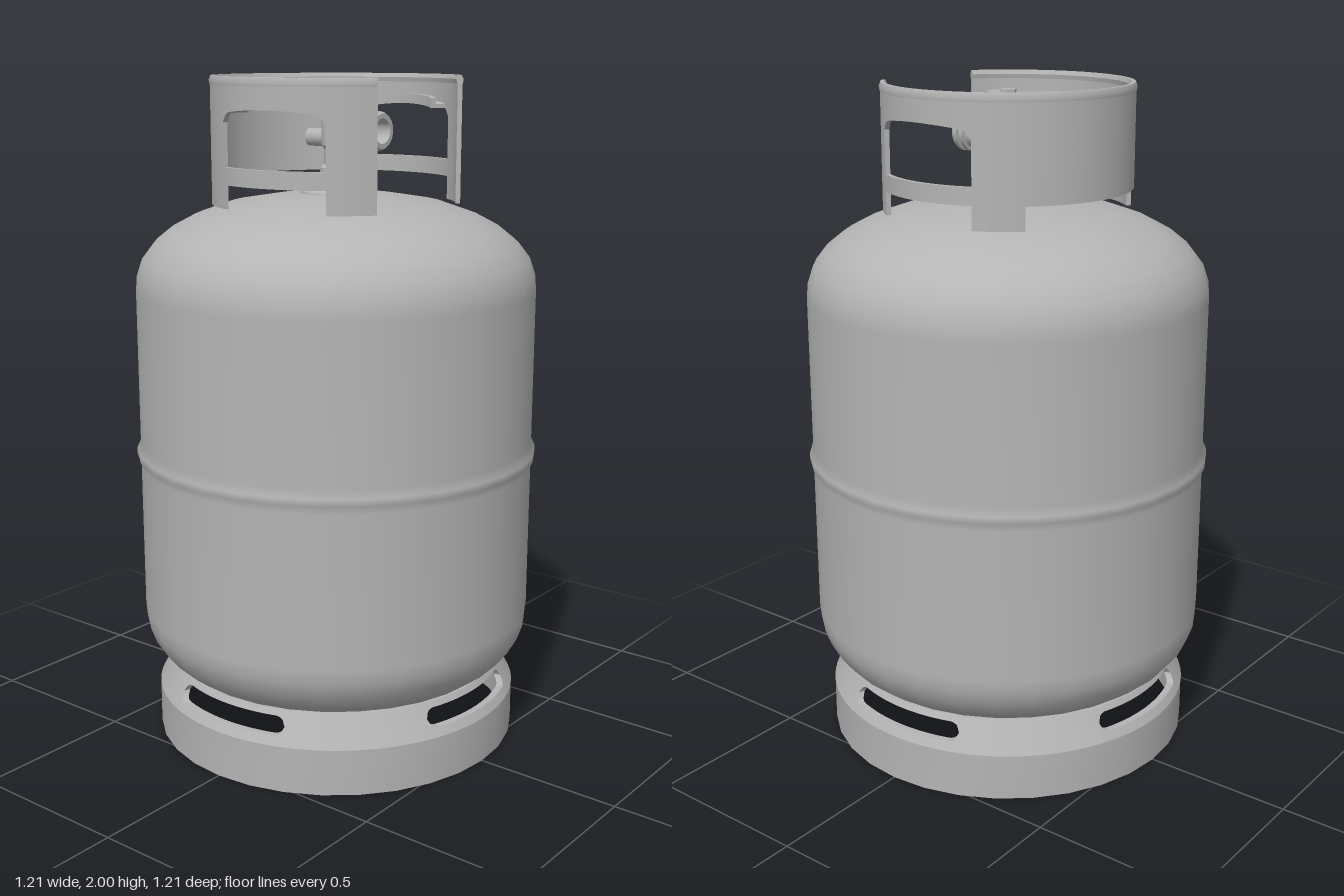
import * as THREE from 'three';
import { toCreasedNormals } from 'three/addons/utils/BufferGeometryUtils.js';

const RAD = Math.PI / 180;

// Sweeps a closed section of [radius, y] points (outer low first, counterclockwise) about the y axis.
function sweep(from, to, steps, section) {
  const pos = [], idx = [];
  const n = section(from).length;
  for (let i = 0; i <= steps; i++) {
    const deg = from + (to - from) * i / steps;
    const a = deg * RAD;
    for (const [r, y] of section(deg)) pos.push(r * Math.sin(a), y, r * Math.cos(a));
  }
  for (let i = 0; i < steps; i++) {
    for (let k = 0; k < n; k++) {
      const a = i * n + k, b = i * n + (k + 1) % n;
      idx.push(a, a + n, b + n, a, b + n, b);
    }
  }
  if (to - from < 360) {
    const e = steps * n;
    for (let k = 1; k < n - 1; k++) {
      idx.push(0, k, k + 1, e, e + k + 1, e + k);
    }
  }
  const g = new THREE.BufferGeometry();
  g.setAttribute('position', new THREE.Float32BufferAttribute(pos, 3));
  g.setIndex(idx);
  return toCreasedNormals(g, 0.6);
}

const box = (rOut, rIn, lo, hi) => [[rOut, lo], [rOut, hi], [rIn, hi], [rIn, lo]];

export function createModel() {
  const model = new THREE.Group();
  model.name = 'gasCylinder';
  const steel = new THREE.MeshStandardMaterial({ color: 0xb4b4b4 });
  steel.name = 'greySteel';

  const add = (name, geometry, parent = model) => {
    const m = new THREE.Mesh(geometry, steel);
    m.name = name;
    parent.add(m);
    return m;
  };
  const group = (name) => {
    const g = new THREE.Group();
    g.name = name;
    model.add(g);
    return g;
  };
  const lathe = (points, segments = 32) =>
    new THREE.LatheGeometry(points.map(([r, y]) => new THREE.Vector2(r, y)), segments);

  // Tank with domed ends and a slim weld bead round the middle
  add('tank', lathe([
    [0, 0.165], [0.2, 0.172], [0.36, 0.19], [0.45, 0.21], [0.5, 0.232], [0.54, 0.263], [0.575, 0.308],
    [0.592, 0.355], [0.596, 0.4], [0.596, 0.855], [0.607, 0.88], [0.607, 0.9], [0.596, 0.925],
    [0.596, 1.38], [0.592, 1.425], [0.575, 1.475], [0.54, 1.52], [0.49, 1.56], [0.42, 1.597],
    [0.32, 1.632], [0.2, 1.652], [0.1, 1.662], [0, 1.665],
  ]));

  // Foot ring with four rounded slots in its sloping upper part
  const foot = group('footRing');
  add('footBand', sweep(0, 360, 32, () => box(0.557, 0.537, 0, 0.14)), foot);
  const ringR = (y) => 0.557 - (y - 0.14) * 0.55;
  const slope = (lo, hi) => [[ringR(lo), lo], [ringR(hi), hi], [ringR(hi) - 0.02, hi], [ringR(lo) - 0.02, lo]];
  const slotHalf = (deg) => {
    const d = Math.abs(((deg + 45) % 90) - 45);
    const e = Math.min(1, Math.max(0, (22 - d) / 3.5));
    return 0.025 * Math.sqrt(1 - (1 - e) ** 2);
  };
  add('slotLowerEdge', sweep(0, 360, 360, (d) => slope(0.14, 0.19 - slotHalf(d))), foot);
  add('slotUpperEdge', sweep(0, 360, 360, (d) => slope(0.19 + slotHalf(d), 0.232)), foot);

  // Guard collar: open at the front, a window and curled hand grip on each side
  const collar = group('collar');
  const wall = (lo, hi = 1.99) => () => box(0.366, 0.352, lo, hi);
  const windowTop = (deg) => {
    const t = (Math.abs(deg) - 56) / 56;
    const edge = Math.min(1, Math.min(t, 1 - t) / 0.12);
    return 1.875 + 0.025 * Math.sqrt(1 - (1 - edge) ** 2) + 0.012 * Math.sin(Math.PI * t);
  };
  for (const s of [1, -1]) {
    const side = s > 0 ? 'left' : 'right';
    const part = (name, a, b, section) => {
      const [from, to] = s > 0 ? [a, b] : [-b, -a];
      add(side + name, sweep(from, to, Math.max(4, Math.round((b - a) / 3)), section), collar);
    };
    part('FrontPost', 34, 56, wall(1.632));
    part('RearPost', 112, 135, wall(1.632));
    part('LowerBar', 56, 112, wall(1.7, 1.75));
    part('WindowHead', 56, 112, (d) => box(0.366, 0.352, windowTop(d), 1.99));
    part('GripFlange', 60, 108, (d) => box(0.36, 0.308, windowTop(d), windowTop(d) + 0.012));
    part('GripLip', 60, 108, (d) => box(0.322, 0.305, windowTop(d), windowTop(d) + 0.03));
  }
  add('backWall', sweep(135, 225, 30, wall(1.7)), collar);
  add('topRim', sweep(34, 326, 72, () =>
    [[0.367, 1.975], [0.369, 1.988], [0.364, 2], [0.353, 2], [0.348, 1.988], [0.351, 1.975]]), collar);

  // Valve: conical boss, hex neck and body
  const valve = group('valve');
  const creased = (points, segments = 20) => toCreasedNormals(lathe(points, segments), 0.5);
  add('valveBoss', creased([[0.108, 1.655], [0.105, 1.668], [0.065, 1.69], [0.06, 1.698], [0, 1.698]], 24), valve);
  add('valveNeck', creased([[0.048, 1.69], [0.048, 1.735], [0.036, 1.745], [0.036, 1.79], [0.043, 1.8],
    [0.043, 1.885], [0.028, 1.9], [0.028, 1.92], [0.016, 1.925], [0.016, 1.95], [0, 1.95]]), valve);

  // Hollow threaded outlet pointing forward
  const outlet = add('outlet', creased([[0.04, 0], [0.046, 0.04], [0.046, 0.125], [0.056, 0.126], [0.056, 0.138],
    [0.047, 0.139], [0.047, 0.148], [0.056, 0.149], [0.056, 0.16], [0.05, 0.17], [0.036, 0.17],
    [0.034, 0.1], [0, 0.1]]), valve);
  outlet.rotation.x = Math.PI / 2;
  outlet.position.y = 1.845;

  // Relief pipe at the back and a small plug on the side
  const relief = add('reliefPipe', new THREE.CylinderGeometry(0.026, 0.026, 0.1, 16), valve);
  relief.rotation.x = Math.PI / 2;
  relief.position.set(0, 1.82, -0.047);
  const plug = add('sidePlug', new THREE.CylinderGeometry(0.024, 0.024, 0.05, 6), valve);
  plug.rotation.z = Math.PI / 2;
  plug.position.set(0.04, 1.805, 0.035);

  // Three-lobed hand wheel with a hex nut
  const lobes = new THREE.Shape();
  for (let i = 0; i < 48; i++) {
    const a = i / 48 * Math.PI * 2;
    const r = 0.068 + 0.03 * Math.cos(3 * a);
    lobes[i ? 'lineTo' : 'moveTo'](r * Math.cos(a), r * Math.sin(a));
  }
  lobes.closePath();
  const wheel = add('handWheel', toCreasedNormals(new THREE.ExtrudeGeometry(lobes, {
    depth: 0.012, bevelEnabled: true, bevelThickness: 0.006, bevelSize: 0.006, bevelSegments: 2,
  }), 0.8), valve);
  wheel.rotation.x = -Math.PI / 2;
  wheel.position.y = 1.948;
  add('wheelNut', toCreasedNormals(new THREE.CylinderGeometry(0.025, 0.025, 0.012, 6), 0.5), valve).position.y = 1.97;

  return model;
}
